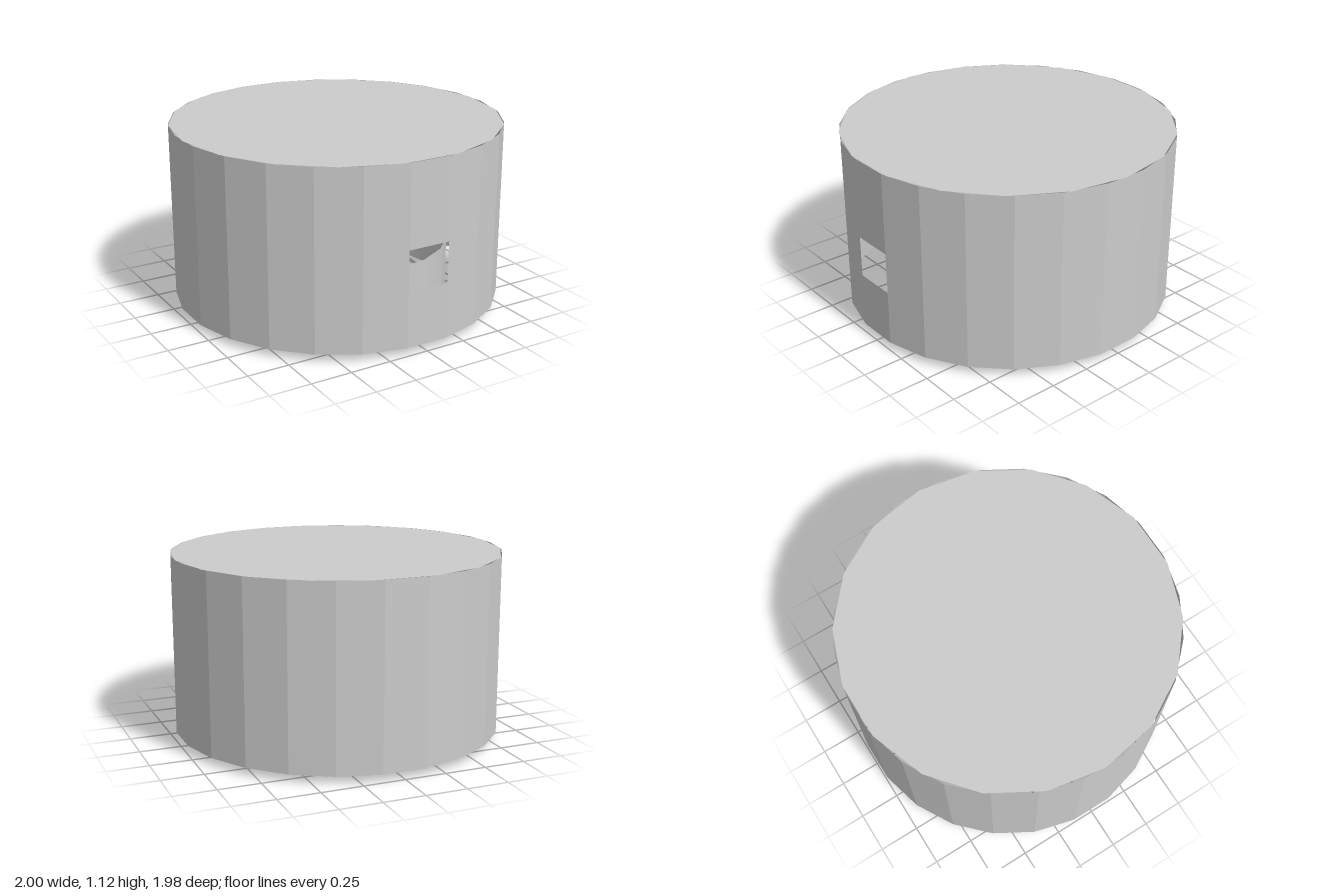
import * as THREE from 'three';

const SIDES = 24, STEP = (Math.PI * 2) / SIDES;
const WALL_BOTTOM = 0.045, WALL_TOP = 1.125;
const HOLE_BOTTOM = 0.38, HOLE_TOP = 0.63;
const RING_RADIUS = 0.683, RING_SIDES = 20, RING_BOTTOM = 0.045, RING_TOP = 0.385;

export function createModel() {
  const model = new THREE.Group();
  const grey = new THREE.MeshStandardMaterial({ color: 0xcccccc, side: THREE.DoubleSide });
  grey.name = 'light grey';

  const add = (name, geometry, parent = model) => {
    const mesh = new THREE.Mesh(geometry, grey);
    mesh.name = name;
    parent.add(mesh);
    return mesh;
  };

  // Faceted open band between two heights
  const band = (bottom, top, segments, start) => {
    const g = new THREE.CylinderGeometry(1, 1, top - bottom, segments, 1, true, start, segments * STEP);
    g.translate(0, (top + bottom) / 2, 0);
    const flat = g.toNonIndexed();
    flat.computeVertexNormals();
    return flat;
  };

  // Outer wall: 23 full facets, with the front facet split around a square opening
  const wall = new THREE.Group();
  wall.name = 'outerWall';
  model.add(wall);
  add('wallFacets', band(WALL_BOTTOM, WALL_TOP, SIDES - 1, STEP / 2), wall);
  add('panelBelowOpening', band(WALL_BOTTOM, HOLE_BOTTOM, 1, -STEP / 2), wall);
  add('panelAboveOpening', band(HOLE_TOP, WALL_TOP, 1, -STEP / 2), wall);

  // Flat lid, coarser than the wall
  const lid = new THREE.CircleGeometry(1, 18);
  lid.rotateX(-Math.PI / 2).translate(0, WALL_TOP, 0);
  add('lid', lid);

  // Smooth inner ring, open at both ends
  const ring = new THREE.CylinderGeometry(RING_RADIUS, RING_RADIUS, RING_TOP - RING_BOTTOM, RING_SIDES, 1, true);
  ring.translate(0, (RING_TOP + RING_BOTTOM) / 2, 0);
  add('innerRing', ring);

  // Saw-toothed foot: one triangle under each side of the ring
  const points = [];
  const corner = (i, y) => {
    const a = (i / RING_SIDES) * Math.PI * 2;
    points.push(RING_RADIUS * Math.sin(a), y, RING_RADIUS * Math.cos(a));
  };
  for (let i = 0; i < RING_SIDES; i++) {
    corner(i, 0);
    corner(i + 1, 0);
    corner(i + 1, RING_BOTTOM);
  }
  const teeth = new THREE.BufferGeometry();
  teeth.setAttribute('position', new THREE.Float32BufferAttribute(points, 3));
  teeth.computeVertexNormals();
  add('ringTeeth', teeth);

  return model;
}
